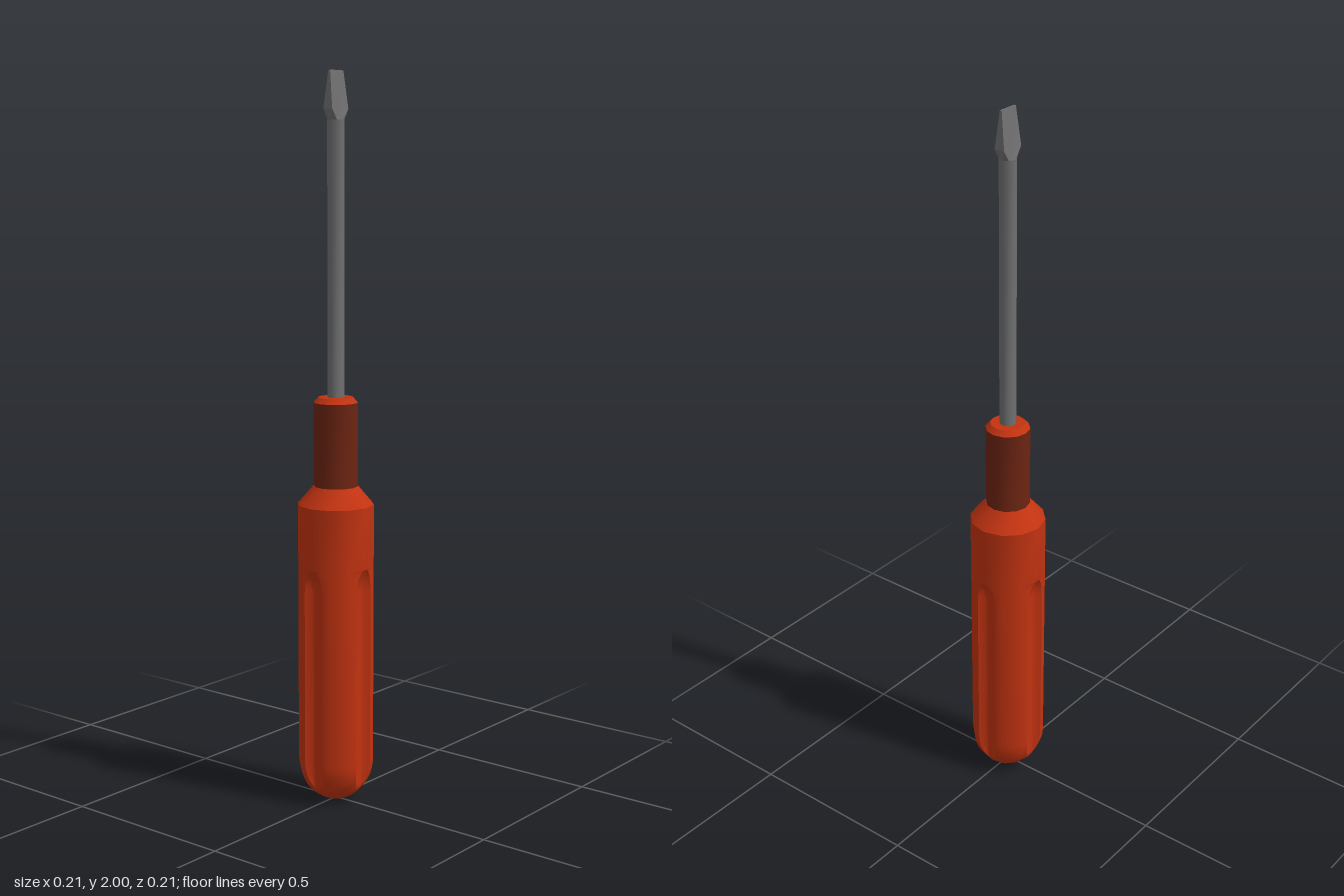
import * as THREE from 'three';
import { toCreasedNormals } from 'three/addons/utils/BufferGeometryUtils.js';

const handleRed = new THREE.MeshStandardMaterial({ color: 0xc23311 });
handleRed.name = 'handle red';
const neckRed = new THREE.MeshStandardMaterial({ color: 0x6c2412 });
neckRed.name = 'dark neck red';
const steel = new THREE.MeshStandardMaterial({ color: 0x707070 });
steel.name = 'steel grey';

// Skin a stack of closed rings (each counter-clockwise from above), capped at the top
function loft(rings, crease) {
  const n = rings[0].length;
  const index = [];
  for (let r = 0; r < rings.length - 1; r++) {
    for (let j = 0; j < n; j++) {
      const a = r * n + j, b = r * n + (j + 1) % n;
      if (rings[r][0].distanceTo(rings[r][1]) > 1e-6) index.push(a, b, b + n);
      index.push(a, b + n, a + n);
    }
  }
  const top = (rings.length - 1) * n;
  for (let j = 1; j < n - 1; j++) index.push(top, top + j, top + j + 1);
  const g = new THREE.BufferGeometry().setFromPoints(rings.flat());
  g.setIndex(index);
  return toCreasedNormals(g, crease);
}

// Twelve-sided handle section with four hollow flutes; flute is 0 (none) to 1 (full)
function handleRing(R, y, flute) {
  const rad = Math.PI / 180;
  const half = Math.max(18 * Math.sqrt(flute), 0.5);
  const ring = [];
  for (let q = 0; q < 4; q++) {
    const offsets = [-3, -2, -1, 0, 1, 2, 3].map((k) => (k / 3) * half).concat(30, 60);
    for (const o of offsets) {
      const within = ((o + 90) % 30) - 15;
      let r = R * Math.cos(15 * rad) / Math.cos(within * rad);
      const u = o / half;
      if (Math.abs(u) < 1) r -= 0.024 * flute * Math.sqrt(1 - u * u);
      const t = (q * 90 + o) * rad;
      ring.push(new THREE.Vector3(r * Math.sin(t), y, r * Math.cos(t)));
    }
  }
  return ring;
}

function buildHandle() {
  const R = 0.105, domeH = 0.12;
  const rings = [];
  // Rounded butt, where the flutes run out
  for (let i = 0; i <= 12; i++) {
    const a = (i / 12) * Math.PI / 2;
    const r = R * Math.sin(a);
    rings.push(handleRing(r, domeH * (1 - Math.cos(a)), Math.max(0, (r - 0.08) / 0.025)));
  }
  // Straight grip and rounded upper flute ends
  for (let i = 0; i <= 6; i++) {
    const s = Math.sin((i / 6) * Math.PI / 2);
    rings.push(handleRing(R, 0.6 + 0.07 * s, Math.max(0, 1 - s * s)));
  }
  // Collar and sloping shoulder
  rings.push(handleRing(R, 0.84, 0), handleRing(0.062, 0.89, 0));
  return loft(rings, 0.6);
}

// Flattened blade growing from the round shaft
function buildTip() {
  const round = [], blade = (w, d, y) =>
    [[0, 1], [1, 1], [1, 0], [1, -1], [0, -1], [-1, -1], [-1, 0], [-1, 1]]
      .map(([x, z]) => new THREE.Vector3(x * w, y, z * d));
  for (let i = 0; i < 8; i++) {
    const t = i * Math.PI / 4;
    round.push(new THREE.Vector3(0.023 * Math.sin(t), 1.872, 0.023 * Math.cos(t)));
  }
  return loft([round, blade(0.034, 0.015, 1.9), blade(0.028, 0.003, 2.0)], 0.2);
}

export function createModel() {
  const group = new THREE.Group();
  const add = (name, geometry, material, y = 0) => {
    const m = new THREE.Mesh(geometry, material);
    m.name = name;
    m.position.y = y;
    group.add(m);
  };
  add('handle', buildHandle(), handleRed);
  add('neck', toCreasedNormals(new THREE.CylinderGeometry(0.061, 0.061, 0.235, 12, 1, true), 0.6), neckRed, 1.0025);
  add('neckCap', toCreasedNormals(new THREE.CylinderGeometry(0.048, 0.061, 0.014, 12), 0.6), handleRed, 1.127);
  add('shaft', toCreasedNormals(new THREE.CylinderGeometry(0.023, 0.023, 0.762, 8, 1, true), 0.9), steel, 1.491);
  add('bladeTip', buildTip(), steel);
  return group;
}
